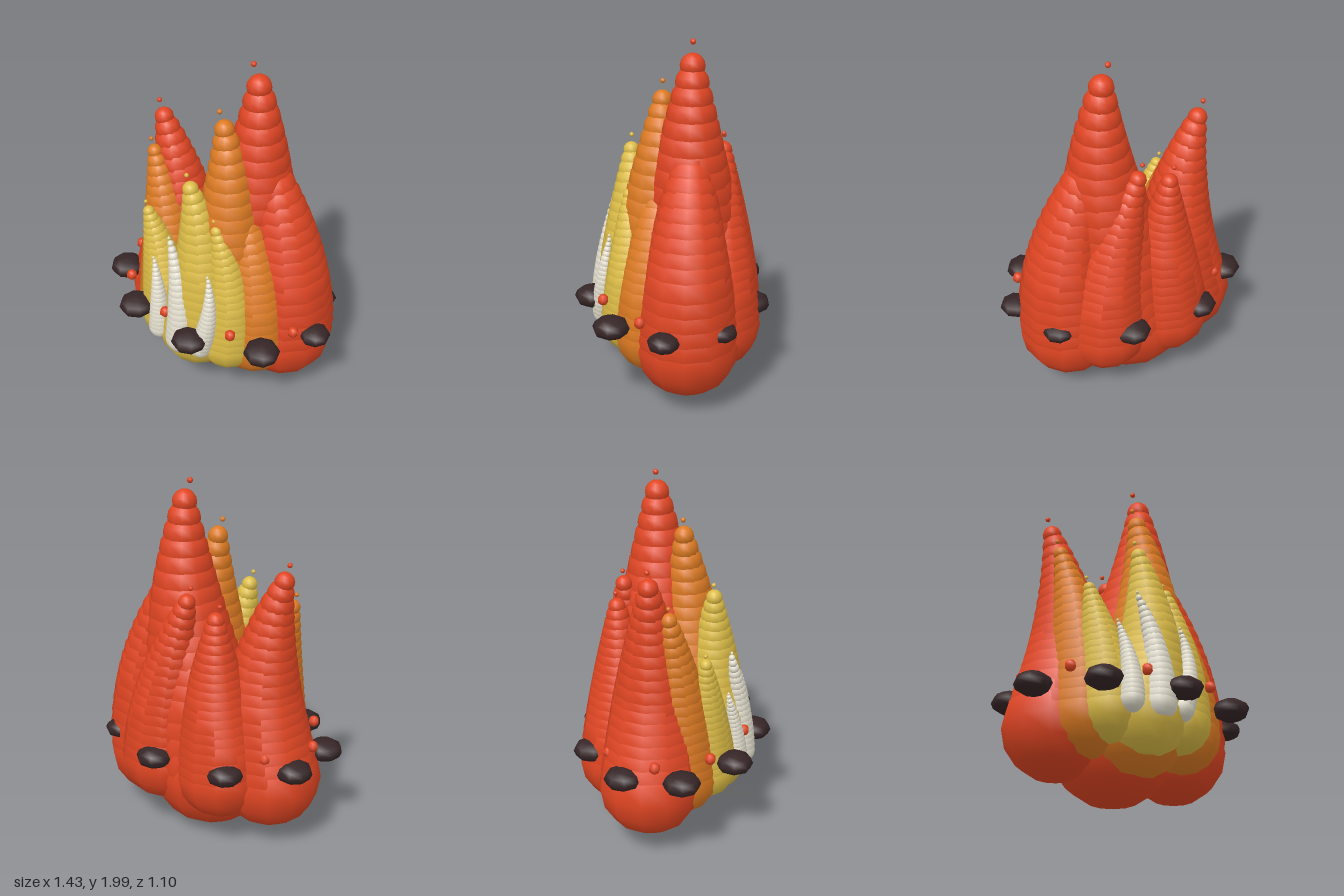
import * as THREE from 'three';
import { mergeGeometries } from 'three/addons/utils/BufferGeometryUtils.js';

function material(name, color) {
  const m = new THREE.MeshStandardMaterial({ color });
  m.name = name;
  return m;
}

// Tapering tongue of overlapping spheres along a bent path.
function tongueGeometry(base, bend, tip, baseRadius, tipRadius) {
  const path = new THREE.QuadraticBezierCurve3(base, bend, tip);
  const count = 18;
  const beads = [];
  for (let i = 0; i < count; i++) {
    const t = i / (count - 1);
    const p = path.getPoint(t);
    const r = tipRadius + (baseRadius - tipRadius) * (1 - Math.pow(t, 1.4));
    beads.push(new THREE.SphereGeometry(r, 12, 8).translate(p.x, p.y, p.z));
  }
  return mergeGeometries(beads);
}

// Point on an oval around the fire, measured from the front towards +x.
function ringPoint(degrees, halfWidth, halfDepth, y) {
  const a = THREE.MathUtils.degToRad(degrees);
  return new THREE.Vector3(Math.sin(a) * halfWidth, y, Math.cos(a) * halfDepth);
}

export function createModel() {
  const model = new THREE.Group();
  model.name = 'flame';
  const red = material('flame red', 0xe04522);
  const orange = material('flame orange', 0xdc7a22);
  const yellow = material('flame yellow', 0xdcbc46);
  const white = material('hot white', 0xe4dfce);
  const coal = material('charred coal', 0x362526);

  const add = (name, geometry, mat) => {
    const mesh = new THREE.Mesh(geometry, mat);
    mesh.name = name;
    model.add(mesh);
    return mesh;
  };

  // One layer of tongues, each given as base x, bend x, tip x, tip y and base radius
  const addLayer = (name, mat, baseY, baseZ, tipZ, tongues) => {
    tongues.forEach(([baseX, bendX, tipX, tipY, radius], i) => {
      const tipRadius = radius * 0.19;
      const base = new THREE.Vector3(baseX, baseY, baseZ);
      const bend = new THREE.Vector3(bendX, (baseY + tipY) / 2, baseZ);
      const tip = new THREE.Vector3(tipX, tipY, tipZ);
      add(`${name}Tongue${i + 1}`, tongueGeometry(base, bend, tip, radius, tipRadius), mat);
      // loose spark floating above the tip
      add(`${name}Spark${i + 1}`, new THREE.SphereGeometry(tipRadius * 0.15 + 0.006, 8, 6), mat)
        .position.set(tipX - tipRadius * 0.55, tipY + tipRadius * 1.75, tipZ);
    });
  };

  // Outer red flames
  addLayer('main', red, 0.37, -0.1, -0.11, [
    [-0.02, 0.2, 0.15, 1.87, 0.355],
    [0.36, 0.44, 0.14, 1.58, 0.29],
  ]);
  addLayer('side', red, 0.38, -0.06, -0.05, [[-0.38, -0.25, -0.44, 1.52, 0.285]]);
  addLayer('rear', red, 0.42, -0.25, -0.275, [
    [-0.18, -0.14, -0.165, 1.315, 0.25],
    [0.2, 0.2, 0.02, 1.38, 0.25],
  ]);
  // Orange, yellow and white flames nested towards the front
  addLayer('middle', orange, 0.4, 0.09, 0.055, [
    [0, 0.17, 0.05, 1.66, 0.29],
    [-0.29, -0.29, -0.43, 1.35, 0.22],
    [0.29, 0.32, 0.12, 1.32, 0.22],
  ]);
  addLayer('inner', yellow, 0.415, 0.22, 0.235, [
    [-0.01, 0.08, -0.04, 1.35, 0.235],
    [-0.21, -0.24, -0.34, 1.08, 0.175],
    [0.2, 0.24, 0.13, 1.145, 0.175],
  ]);
  addLayer('core', white, 0.43, 0.385, 0.345, [
    [-0.01, 0.01, -0.1, 1.03, 0.095],
    [-0.165, -0.16, -0.22, 0.85, 0.068],
    [0.125, 0.21, 0.155, 0.885, 0.068],
  ]);

  // Ring of flattened coals with small glowing embers between them
  for (let i = 0; i < 9; i++) {
    const rock = add(`coal${i + 1}`, new THREE.SphereGeometry(i === 2 || i === 3 ? 0.088 : 0.102, 8, 6), coal);
    rock.position.copy(ringPoint(9 + i * 40, 0.64, 0.46, 0.515));
    rock.scale.y = 0.6;
    rock.rotation.y = i * 0.7;
    add(`ember${i + 1}`, new THREE.SphereGeometry(0.032, 6, 5), red)
      .position.copy(ringPoint(31 + i * 40, 0.61, 0.425, 0.595));
  }

  return model;
}
